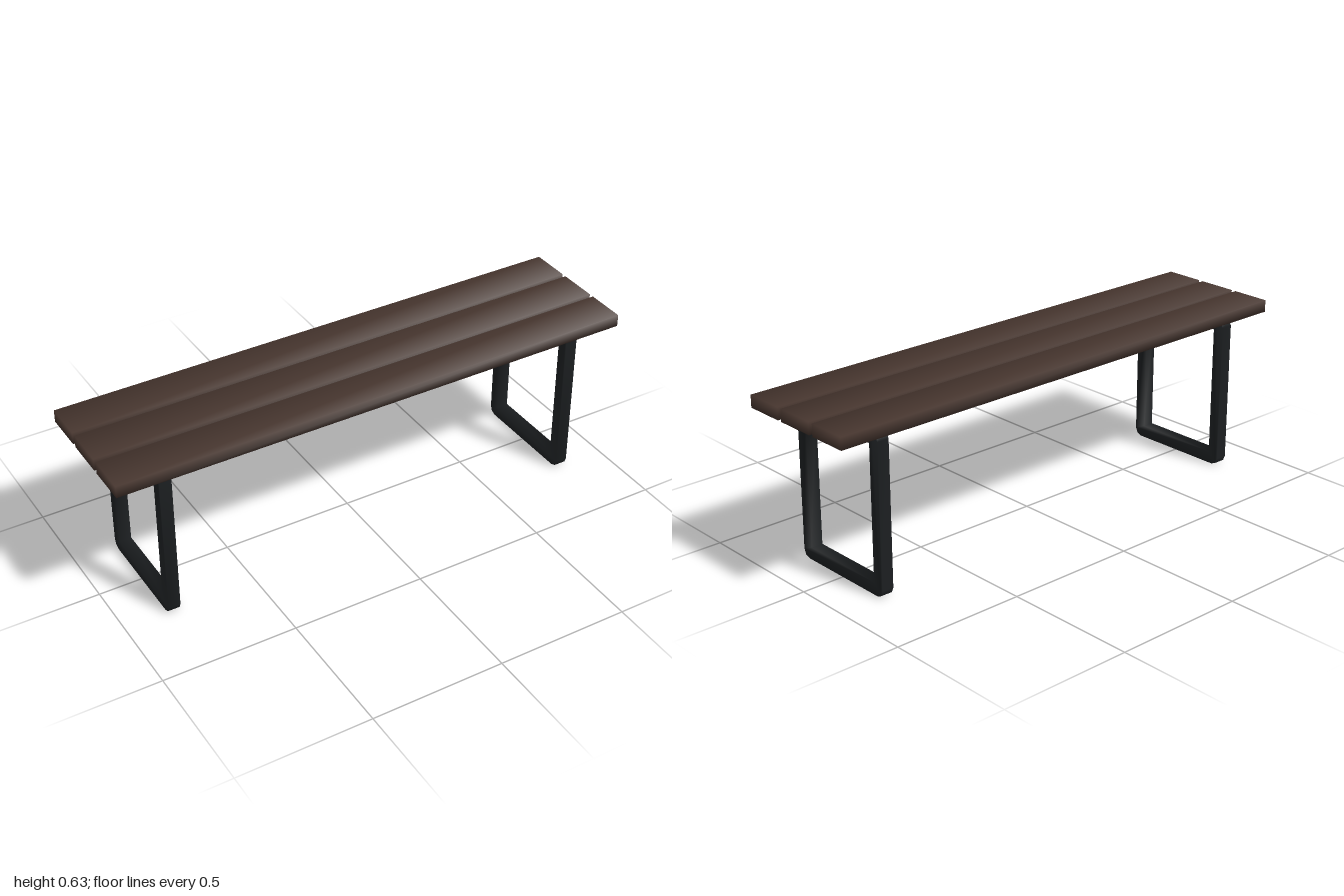
import * as THREE from 'three';
import { mergeVertices } from 'three/addons/utils/BufferGeometryUtils.js';

// Weld the corners so shading runs softly over the edges
function soften(geometry) {
  geometry.deleteAttribute('normal');
  geometry.deleteAttribute('uv');
  const welded = mergeVertices(geometry, 1e-4);
  welded.computeVertexNormals();
  return welded;
}

// Upright loop of square bar: rounded outside corners, sharp opening
function frameGeometry(halfDepth, height, bar, radius, width) {
  const d = halfDepth, r = radius, h = height;
  const shape = new THREE.Shape();
  shape.absarc(d - r, r, r, -Math.PI / 2, 0, false);
  shape.absarc(d - r, h - r, r, 0, Math.PI / 2, false);
  shape.absarc(-d + r, h - r, r, Math.PI / 2, Math.PI, false);
  shape.absarc(-d + r, r, r, Math.PI, Math.PI * 1.5, false);
  shape.closePath();

  const i = d - bar;
  shape.holes.push(new THREE.Path([
    new THREE.Vector2(-i, bar + 0.002),
    new THREE.Vector2(-i, h - bar),
    new THREE.Vector2(i, h - bar),
    new THREE.Vector2(i, bar + 0.002),
  ]));

  const geometry = new THREE.ExtrudeGeometry(shape, { depth: width, bevelEnabled: false, curveSegments: 1 });
  geometry.translate(0, 0, -width / 2);
  geometry.rotateY(Math.PI / 2);
  return geometry;
}

export function createModel() {
  const bench = new THREE.Group();
  bench.name = 'bench';
  const wood = new THREE.MeshStandardMaterial({ color: 0x46352e });
  const metal = new THREE.MeshStandardMaterial({ color: 0x1c1f21 });

  // Three seat planks
  const plank = soften(new THREE.BoxGeometry(2, 0.046, 0.151));
  ['backPlank', 'middlePlank', 'frontPlank'].forEach((name, k) => {
    const mesh = new THREE.Mesh(plank, wood);
    mesh.name = name;
    mesh.position.set(0, 0.608, (k - 1) * 0.1695);
    bench.add(mesh);
  });

  // A leg frame near each end
  const frame = soften(frameGeometry(0.218, 0.588, 0.044, 0.028, 0.045));
  for (const side of [-1, 1]) {
    const mesh = new THREE.Mesh(frame, metal);
    mesh.name = side > 0 ? 'leftLegFrame' : 'rightLegFrame';
    mesh.position.x = side * 0.816;
    bench.add(mesh);
  }
  return bench;
}
